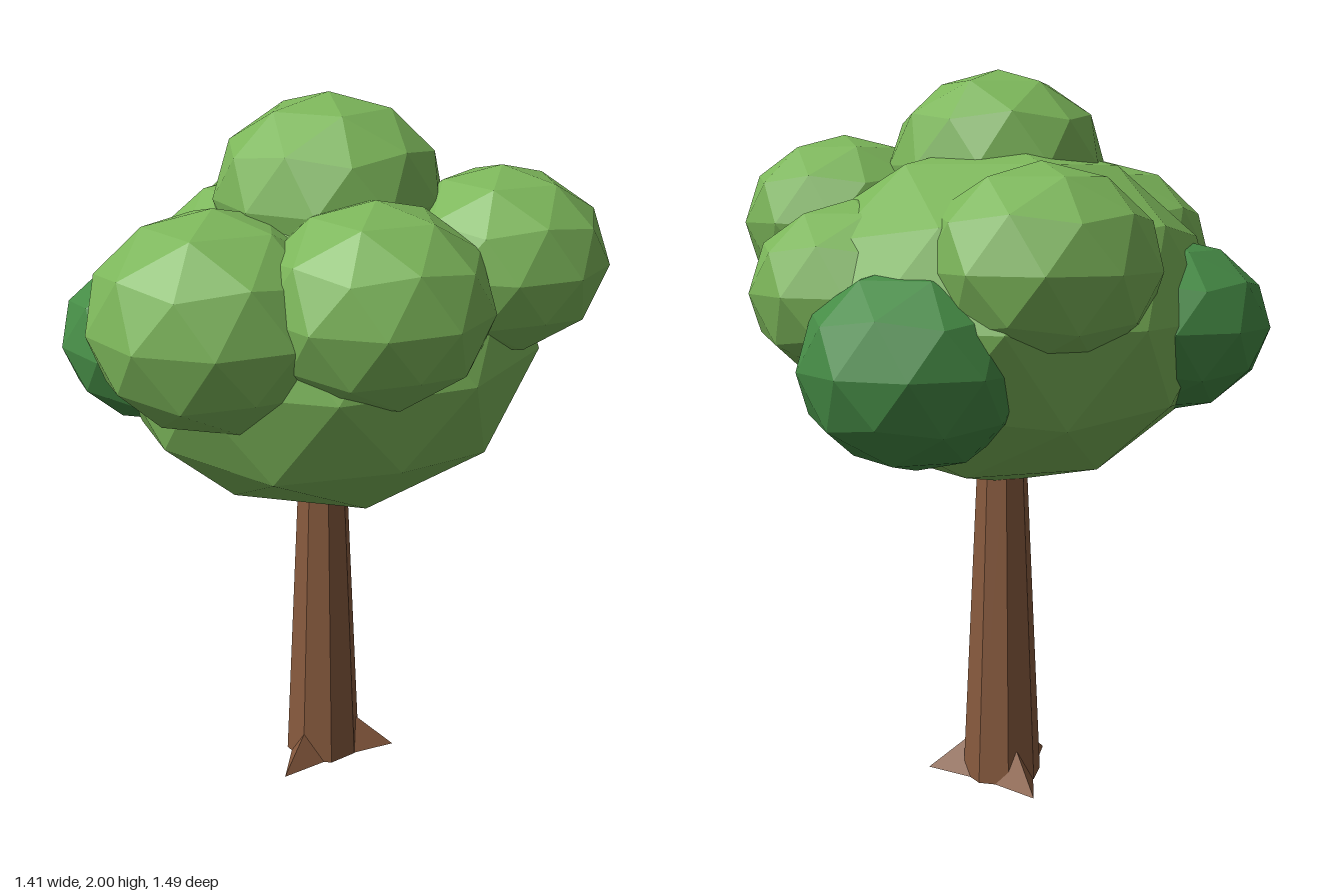
import * as THREE from 'three';
import { ConvexGeometry } from 'three/addons/geometries/ConvexGeometry.js';

const flat = (name, color) => {
  const m = new THREE.MeshStandardMaterial({ color, flatShading: true });
  m.name = name;
  return m;
};

export function createModel() {
  const bark = flat('bark brown', 0x875a3e);
  const leaf = flat('leaf green', 0x7cb65a);
  const darkLeaf = flat('dark leaf green', 0x468c46);

  const tree = new THREE.Group();
  tree.name = 'tree';
  const add = (parent, name, geometry, material) => {
    const mesh = new THREE.Mesh(geometry, material);
    mesh.name = name;
    parent.add(mesh);
    return mesh;
  };

  // Tapered trunk, running up into the crown
  const base = new THREE.Group();
  base.name = 'trunkAndRoots';
  base.position.set(-0.035, 0, -0.018);
  tree.add(base);
  add(base, 'trunk', new THREE.CylinderGeometry(0.067, 0.113, 1.0, 8).translate(0, 0.5, 0), bark);

  // Three pointed roots spread evenly around the foot
  const rootPoints = [
    [0, 0, 0.215], [0.065, 0, 0.075], [-0.065, 0, 0.075],
    [0, 0.095, 0.103], [0, 0, 0.02], [0, 0.045, 0.145],
  ].map((p) => new THREE.Vector3(...p));
  const rootGeometry = new ConvexGeometry(rootPoints);
  for (let i = 0; i < 3; i++) {
    add(base, 'root', rootGeometry, bark).rotation.y = (i * Math.PI * 2) / 3;
  }

  // Faceted ball with a corner at the pole, flattened in height
  const tilt = -Math.atan(1 / ((1 + Math.sqrt(5)) / 2));
  const ball = new THREE.IcosahedronGeometry(1, 1).rotateZ(tilt);
  const clump = (name, [x, y, z], r, h, material = leaf, turn = 0) => {
    const mesh = add(tree, name, ball, material);
    mesh.position.set(x, y, z);
    mesh.scale.set(r, h, r);
    mesh.rotation.y = turn;
  };

  // Crown and the leaf clumps around it
  clump('crown', [-0.035, 1.338, -0.018], 0.595, 0.473);
  clump('topClump', [0.028, 1.74, 0.05], 0.303, 0.26, leaf, 0.45);
  clump('frontClump', [-0.077, 1.475, 0.415], 0.33, 0.284);
  clump('frontLeftClump', [0.285, 1.53, 0.25], 0.3, 0.26);
  clump('leftClump', [0.43, 1.585, -0.135], 0.286, 0.242);
  clump('backLeftClump', [0.2, 1.41, -0.36], 0.283, 0.242);
  clump('backRightClump', [-0.315, 1.48, -0.245], 0.313, 0.268);
  clump('rightDarkClump', [-0.43, 1.315, 0.178], 0.29, 0.237, darkLeaf);
  clump('backDarkClump', [-0.07, 1.235, -0.445], 0.303, 0.265, darkLeaf);

  return tree;
}
